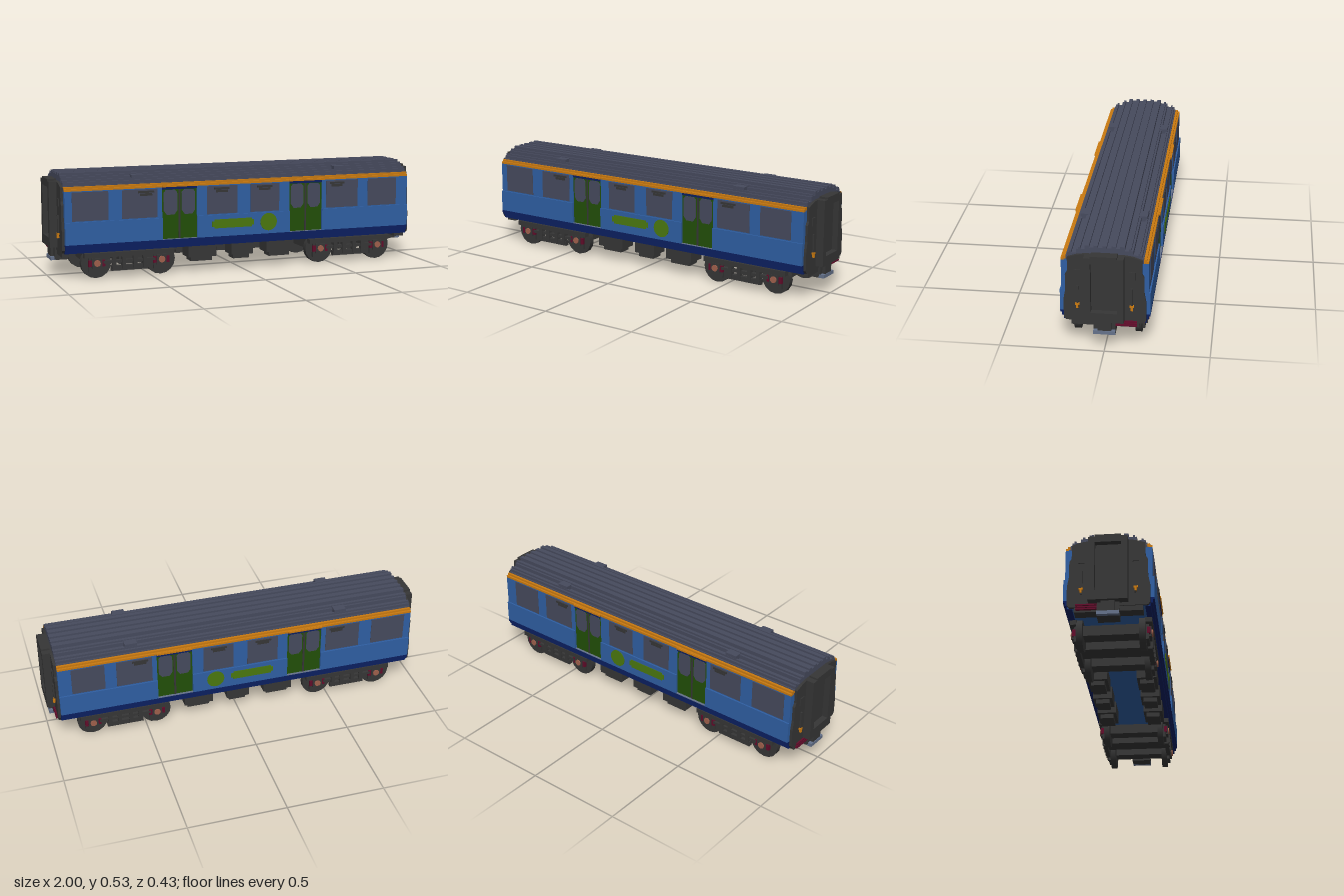
import * as THREE from 'three';

const mat = (name, color) => {
  const m = new THREE.MeshStandardMaterial({ color });
  m.name = name;
  return m;
};

export function createModel() {
  const blue = mat('body blue', 0x2f5fa3), navy = mat('skirt navy', 0x0b1f60);
  const orange = mat('trim orange', 0xca7a10), slate = mat('roof and glass slate', 0x464a5d);
  const dark = mat('ironwork grey', 0x363636), maroon = mat('pipe maroon', 0x620c2a);
  const steel = mat('steel blue grey', 0x64718a), green = mat('door green', 0x224f08);
  const lime = mat('lime paint', 0x4b780f), copper = mat('axle copper', 0xa0604c);

  const model = new THREE.Group();
  model.name = 'railwayCarriage';
  const group = (name) => {
    const g = new THREE.Group();
    g.name = name;
    model.add(g);
    return g;
  };
  const add = (parent, name, geometry, material) => {
    const m = new THREE.Mesh(geometry, material);
    m.name = name;
    parent.add(m);
    return m;
  };
  // box from its limits on each axis
  const box = (parent, name, material, [x0, x1], [y0, y1], [z0, z1]) =>
    add(parent, name, new THREE.BoxGeometry(Math.abs(x1 - x0), y1 - y0, Math.abs(z1 - z0))
      .translate((x0 + x1) / 2, (y0 + y1) / 2, (z0 + z1) / 2), material);
  const disc = (parent, name, material, r, [x, y, z], depth, sides = 16) =>
    add(parent, name, new THREE.CylinderGeometry(r, r, depth, sides)
      .rotateX(Math.PI / 2).translate(x, y, z), material);
  // symmetric half section (z, y) from top centre outwards, swept along x
  const sweep = (parent, name, material, half, x0, x1, hole) => {
    const full = [...half, ...half.slice().reverse().map(([z, y]) => [-z, y])];
    const shape = new THREE.Shape(full.map(([z, y]) => new THREE.Vector2(z, y)));
    if (hole) {
      const [w, b, t] = hole;
      shape.holes.push(new THREE.Path([[-w, b], [w, b], [w, t], [-w, t]].map((p) => new THREE.Vector2(...p))));
    }
    const g = new THREE.ExtrudeGeometry(shape, { depth: x1 - x0, bevelEnabled: false });
    return add(parent, name, g.rotateY(Math.PI / 2).translate(x0, 0, 0), material);
  };
  const L = 0.947;

  // ribbed roof
  const roof = group('roof');
  sweep(roof, 'roofShell', slate, [[0.01, 0.53], [0.01, 0.52], [0.032, 0.52], [0.032, 0.53],
    [0.052, 0.53], [0.052, 0.52], [0.072, 0.52], [0.072, 0.53], [0.093, 0.53], [0.093, 0.51],
    [0.113, 0.51], [0.113, 0.52], [0.123, 0.52], [0.123, 0.51], [0.133, 0.51], [0.133, 0.49],
    [0.155, 0.49], [0.155, 0.5], [0.164, 0.5], [0.164, 0.49], [0.174, 0.49], [0.174, 0.475],
    [0.182, 0.475], [0.182, 0.45]], -L, L);

  // core and floor
  const body = group('body');
  box(body, 'bodyCore', blue, [-L, L], [0.14, 0.455], [-0.19, 0.19]);

  const doors = [-0.352, 0.347], dw = 0.093;
  const bays = [[-L, doors[0] - dw], [doors[0] + dw, doors[1] - dw], [doors[1] + dw, L]];
  const windows = [[-0.91, -0.725], [-0.655, -0.47], [-0.205, -0.04], [0.035, 0.195], [0.465, 0.65], [0.71, 0.88]];
  const vents = [-0.53, -0.125, 0.112, 0.527];

  for (const s of [1, -1]) {
    const side = group(s > 0 ? 'frontSide' : 'backSide');
    const sbox = (name, m, x, y, [a, b]) => box(side, name, m, x, y, [s * a, s * b]);

    // wall panels between the doors
    for (const bay of bays) {
      sbox('upperWall', blue, bay, [0.29, 0.45], [0.17, 0.205]);
      sbox('lowerWall', blue, bay, [0.183, 0.295], [0.17, 0.213]);
    }
    // stepped skirt
    sbox('skirtTop', navy, [-L, L], [0.172, 0.183], [0.17, 0.213]);
    sbox('skirtMiddle', navy, [-L, L], [0.155, 0.172], [0.17, 0.205]);
    sbox('skirtBottom', navy, [-L, L], [0.137, 0.155], [0.17, 0.195]);
    // orange cornice
    sbox('corniceLower', orange, [-L, L], [0.45, 0.461], [0.17, 0.205]);
    sbox('corniceUpper', orange, [-L, L], [0.461, 0.471], [0.17, 0.195]);

    for (const w of windows) sbox('window', slate, w, [0.3, 0.445], [0.2, 0.207]);
    for (const x of vents) {
      sbox('ventUpper', dark, [x - 0.042, x + 0.042], [0.427, 0.437], [0.2, 0.211]);
      sbox('ventLower', dark, [x - 0.032, x + 0.032], [0.412, 0.425], [0.2, 0.209]);
    }
    for (const x of [-0.56, 0.56])
      sbox('roofVent', slate, [x - 0.032, x + 0.032], [0.48, 0.515], [0.12, 0.163]);

    // double doors
    for (const d of doors) {
      sbox('doorHeader', navy, [d - dw, d + dw], [0.438, 0.45], [0.18, 0.206]);
      sbox('doorGutter', orange, [d - dw, d + dw], [0.451, 0.46], [0.2, 0.212]);
      sbox('doorSill', steel, [d - dw, d + dw], [0.179, 0.185], [0.18, 0.212]);
      sbox('doorGap', dark, [d - 0.005, d + 0.005], [0.185, 0.438], [0.18, 0.202]);
      for (const k of [-1, 1]) {
        sbox('doorLeaf', green, [d + k * 0.005, d + k * dw], [0.185, 0.438], [0.18, 0.2]);
        const pane = new THREE.Shape([[-0.036, 0.33], [-0.02, 0.308], [0.02, 0.308], [0.036, 0.33],
          [0.036, 0.422], [0.024, 0.435], [-0.024, 0.435], [-0.036, 0.422]].map((p) => new THREE.Vector2(...p)));
        add(side, 'doorWindow', new THREE.ExtrudeGeometry(pane, { depth: 0.008, bevelEnabled: false })
          .translate(d + k * 0.048, 0, s * 0.199 - 0.004), slate);
      }
    }

    // painted bar and spot
    sbox('paintedBar', lime, [-0.168, 0.038], [0.226, 0.272], [0.21, 0.2155]);
    sbox('paintedBarTips', lime, [-0.18, 0.05], [0.235, 0.263], [0.21, 0.215]);
    disc(side, 'paintedSpot', lime, 0.046, [0.133, 0.245, s * 0.2125], 0.006, 24);

    // equipment boxes under the floor
    for (const [x, w] of [[-0.22, 0.077], [0, 0.06], [0.215, 0.077]]) {
      sbox('equipmentBox', dark, [x - w, x + w], [0.075, 0.14], [0.075, 0.175]);
      sbox('equipmentBoxBase', dark, [x - w * 0.75, x + w * 0.75], [0.052, 0.075], [0.09, 0.16]);
    }
  }

  // carriage ends
  for (const e of [1, -1]) {
    const end = group(e > 0 ? 'leftEnd' : 'rightEnd');
    const ebox = (name, m, [a, b], y, z) => box(end, name, m, [e * a, e * b], y, z);
    const esweep = (name, m, half, a, b, hole) =>
      sweep(end, name, m, half, Math.min(e * a, e * b), Math.max(e * a, e * b), hole);
    esweep('endWall', dark, [[0.09, 0.49], [0.13, 0.485], [0.174, 0.47], [0.174, 0.4], [0.185, 0.38],
      [0.185, 0.3], [0.194, 0.25], [0.194, 0.155], [0.184, 0.14]], 0.94, 0.96);
    // gangway surround with a recessed door
    esweep('gangway', dark, [[0.062, 0.5], [0.062, 0.49], [0.093, 0.49], [0.093, 0.156]], 0.955, 1, [0.062, 0.205, 0.46]);
    ebox('gangwayDoor', dark, [0.955, 0.97], [0.2, 0.465], [-0.065, 0.065]);
    // coupler and pipes
    ebox('couplerBlock', dark, [0.9, 0.968], [0.085, 0.156], [-0.052, 0.052]);
    ebox('couplerHead', dark, [0.96, 0.985], [0.1, 0.156], [-0.032, 0.032]);
    ebox('couplerPlate', steel, [0.96, 0.988], [0.085, 0.103], [-0.052, 0.052]);
    for (const y of [0.124, 0.134, 0.145])
      ebox('pipe', maroon, [0.93, 0.968], [y, y + 0.007], [-0.152, -0.05]);
    ebox('endBeam', dark, [0.9, 0.955], [0.115, 0.145], [-0.16, 0.16]);
    for (const s of [1, -1]) {
      ebox('endHatch', dark, [0.955, 0.965], [0.37, 0.41], [s * 0.113, s * 0.143]);
      ebox('handrail', dark, [0.955, 0.968], [0.205, 0.325], [s * 0.122, s * 0.132]);
      ebox('lampTop', orange, [0.955, 0.97], [0.226, 0.236], [s * 0.118, s * 0.138]);
      ebox('lampStem', orange, [0.955, 0.972], [0.21, 0.23], [s * 0.123, s * 0.133]);
    }
  }

  // four-wheel bogies
  for (const cx of [-0.613, 0.613]) {
    const bogie = group('bogie');
    box(bogie, 'bolster', dark, [cx - 0.05, cx + 0.05], [0.065, 0.14], [-0.165, 0.165]);
    for (const k of [-1, 1]) {
      const x = cx + k * 0.169;
      box(bogie, 'crossBeam', dark, [x - 0.035, x + 0.035], [0.063, 0.115], [-0.135, 0.135]);
      for (const s of [1, -1]) {
        disc(bogie, 'wheel', dark, 0.078, [x, 0.078, s * 0.148], 0.03);
        box(bogie, 'axleBox', dark, [x - 0.04, x + 0.04], [0.032, 0.115], [s * 0.16, s * 0.177]);
        box(bogie, 'axleBoxCover', dark, [x - 0.026, x + 0.026], [0.053, 0.105], [s * 0.17, s * 0.188]);
        disc(bogie, 'axleHub', copper, 0.017, [x, 0.08, s * 0.187], 0.014, 12);
        for (const q of [-1, 1])
          box(bogie, 'spring', maroon, [x + q * 0.026, x + q * 0.042], [0.062, 0.095], [s * 0.168, s * 0.184]);
      }
    }
    for (const s of [1, -1]) {
      const z = [s * 0.163, s * 0.185];
      box(bogie, 'sideFrame', dark, [cx - 0.235, cx + 0.235], [0.108, 0.132], [s * 0.16, s * 0.194]);
      box(bogie, 'lowerFrame', dark, [cx - 0.095, cx + 0.095], [0.036, 0.062], z);
      box(bogie, 'middleRail', dark, [cx - 0.135, cx + 0.135], [0.076, 0.09], z);
      for (const dx of [-0.08, -0.03, 0.03, 0.08])
        box(bogie, 'framePost', dark, [cx + dx - 0.01, cx + dx + 0.01], [0.045, 0.12], [s * 0.165, s * 0.19]);
    }
  }
  return model;
}
